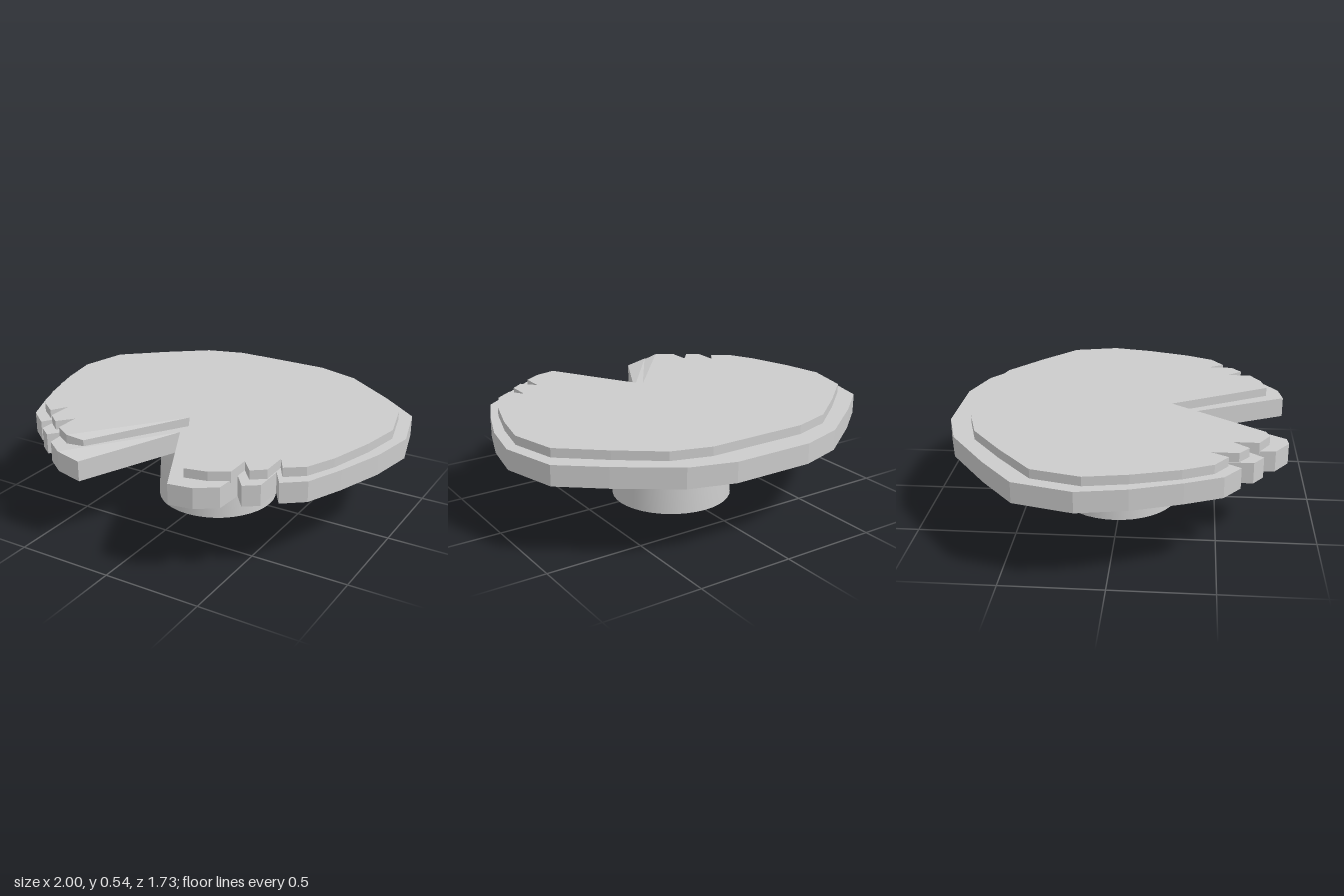
import * as THREE from 'three';

const grey = new THREE.MeshStandardMaterial({ color: 0xcccccc });
const greyOpen = new THREE.MeshStandardMaterial({ color: 0xcccccc, side: THREE.DoubleSide });

// Right half of each rim as [x, z], from the back round to the lip beside the notch
const lowerRim = [
  [0.21, -0.87], [0.44, -0.8], [0.72, -0.6], [0.925, -0.43], [1, -0.14], [0.955, 0.1],
  [0.87, 0.34], [0.79, 0.52], [0.685, 0.6], [0.625, 0.51], [0.625, 0.66], [0.555, 0.71],
  [0.49, 0.63], [0.48, 0.77], [0.38, 0.84], [0.26, 0.86],
];
const upperRim = [
  [0.26, -0.75], [0.46, -0.69], [0.67, -0.53], [0.88, -0.35], [0.94, -0.11], [0.9, 0.1],
  [0.83, 0.33], [0.76, 0.475], [0.67, 0.54], [0.62, 0.46], [0.62, 0.59], [0.555, 0.64],
  [0.49, 0.565], [0.49, 0.69], [0.4, 0.745], [0.29, 0.77],
];

// Mirrors a rim, cuts the V notch, extrudes it and lets the left lip sag
function slab(name, rim, notchZ, leftLip, bottom, top, sag) {
  const left = rim.map(([x, z]) => [-x, z]);
  left[left.length - 1] = leftLip;
  const outline = [...rim, [0, notchZ], ...left.reverse()];
  const shape = new THREE.Shape(outline.map(([x, z]) => new THREE.Vector2(x, -z)));
  const geo = new THREE.ExtrudeGeometry(shape, { depth: top - bottom, bevelEnabled: false });
  geo.rotateX(-Math.PI / 2).translate(0, bottom, 0);
  const p = geo.attributes.position;
  for (let i = 0; i < p.count; i++) {
    const x = p.getX(i), z = p.getZ(i);
    const atLip = Math.hypot(x - leftLip[0], z - leftLip[1]) < 0.01;
    p.setY(i, p.getY(i) - 0.005 * z - (atLip ? sag : 0));
  }
  geo.computeVertexNormals();
  const mesh = new THREE.Mesh(geo, grey);
  mesh.name = name;
  return mesh;
}

export function createModel() {
  const model = new THREE.Group();
  model.name = 'notchedPad';

  // Two stacked layers of the pad
  model.add(slab('lowerPad', lowerRim, 0.35, [-0.26, 0.84], 0.383, 0.487, 0.025));
  model.add(slab('upperPad', upperRim, 0.26, [-0.31, 0.73], 0.475, 0.533, 0.015));

  // Hollow stalk, open at the foot and tapering under the pad
  const profile = [[0.32, 0], [0.314, 0.13], [0.305, 0.25], [0.287, 0.31], [0.262, 0.375], [0.25, 0.41]]
    .map(([r, y]) => new THREE.Vector2(r, y));
  const stalk = new THREE.Mesh(new THREE.LatheGeometry(profile, 40), greyOpen);
  stalk.name = 'stalk';
  stalk.position.z = -0.02;
  model.add(stalk);

  return model;
}
